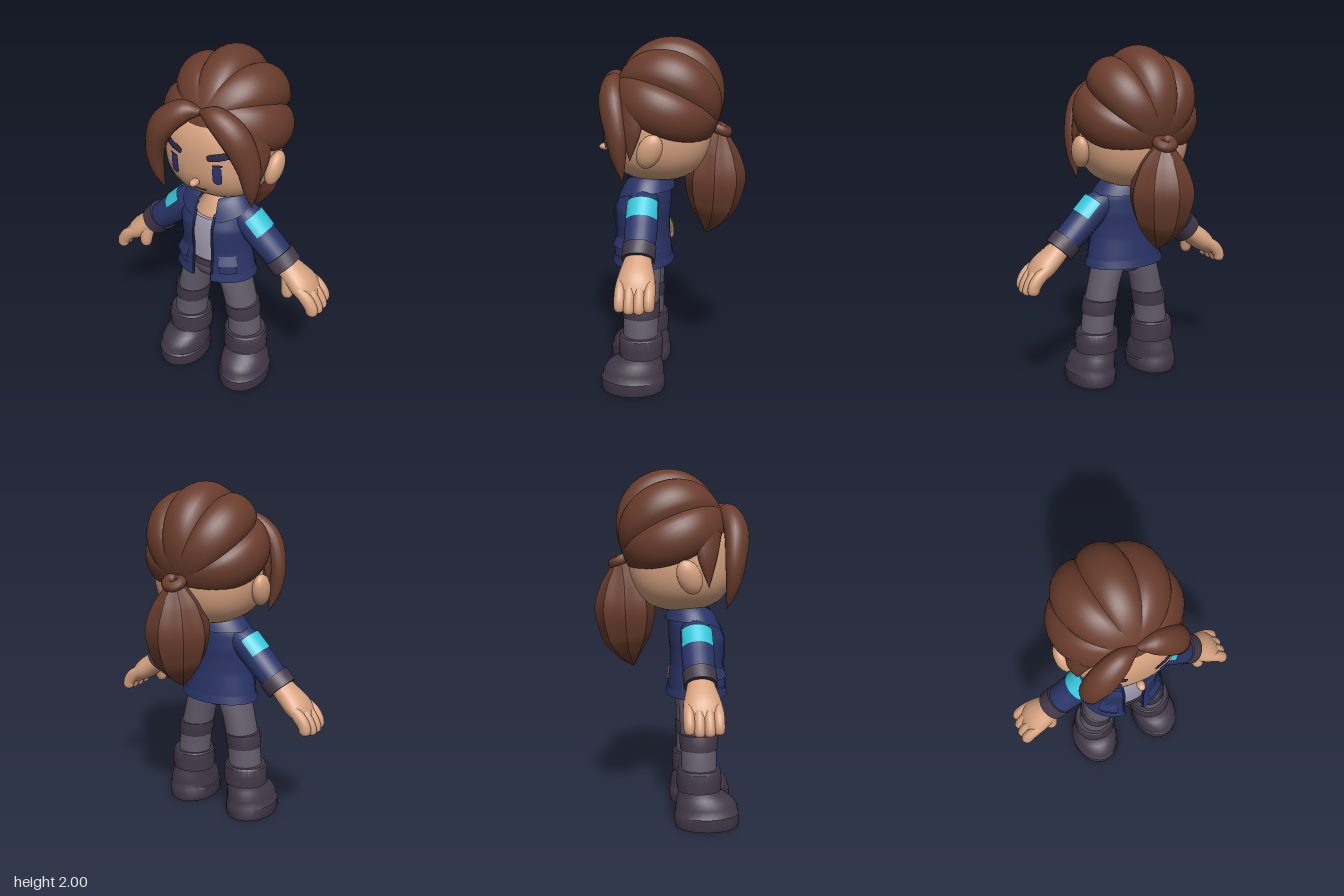
import * as THREE from 'three';
import { toCreasedNormals } from 'three/addons/utils/BufferGeometryUtils.js';
import { ParametricGeometry } from 'three/addons/geometries/ParametricGeometry.js';

const V = (x, y, z) => new THREE.Vector3(x, y, z);
const { sin, cos, abs, PI, pow, sqrt, max, min, asin } = Math;
const surface = (fn, nu, nv) => new ParametricGeometry(fn, nu, nv);

function material(name, color, open) {
  const m = new THREE.MeshStandardMaterial({ color, side: open ? THREE.DoubleSide : THREE.FrontSide });
  m.name = name;
  return m;
}

// Horizontal elliptical rings, bottom to top: [y, cx, cz, rx, rz]
function rings(list, seg = 28) {
  const n = list.length - 1;
  return surface((u, v, t) => {
    const [y, cx, cz, rx, rz] = list[Math.round(v * n)];
    t.set(cx + rx * sin(u * 2 * PI), y, cz + rz * cos(u * 2 * PI));
  }, seg, n);
}

// Smooth sweep: points, half sizes [width, thickness], facing direction, number of ridges
function loft(points, sizes, out, ridges = 0, seg = 24, steps = 24) {
  const path = new THREE.CatmullRomCurve3(points.map(p => V(...p)));
  const size = new THREE.CatmullRomCurve3(sizes.map((s, i) => V(s[0], s[1], i * 0.05)));
  return surface((u, v, t) => {
    const c = path.getPoint(v), T = path.getTangent(v), s = size.getPoint(v), a = u * 2 * PI;
    const W = out(c).cross(T).normalize(), N = T.clone().cross(W);
    const k = ridges ? 1 - 0.09 * abs(sin(ridges * a / 2)) : 1;
    t.copy(c).addScaledVector(W, max(0, s.x) * k * cos(a)).addScaledVector(N, max(0, s.y) * k * sin(a));
  }, seg, steps);
}

// Head surface depth at a face position
const headZ = (x, y) => 0.06 + 0.3 * pow(max(0, 1 - pow(abs(x / 0.3), 2.5) - pow(abs((y - 1.5) / 0.29), 2.5)), 0.4);

// Thin rounded plate lying on the face
function facePatch(cx, cy, w, h, rot, lift = 0.006) {
  return surface((u, v, t) => {
    const b = v * 2 - 1, a = (u * 2 - 1) * sqrt(max(0, 1 - pow(b, 6)));
    const x = cx + a * w * cos(rot) - b * h * sin(rot), y = cy + a * w * sin(rot) + b * h * cos(rot);
    t.set(x, y, headZ(x, y) + lift);
  }, 8, 14);
}

// Jacket cross-sections: [y, cz, rx, rz]
const JACKET = [[0.73, 0.15, 0.237, 0.168], [0.8, 0.15, 0.226, 0.162], [0.9, 0.15, 0.207, 0.152],
  [0.98, 0.153, 0.208, 0.155], [1.05, 0.15, 0.212, 0.16], [1.14, 0.13, 0.19, 0.14], [1.22, 0.11, 0.13, 0.115]];
function jacketPoint(a, y, off, t) {
  let i = 0;
  while (i < JACKET.length - 2 && y > JACKET[i + 1][0]) i++;
  const A = JACKET[i], B = JACKET[i + 1], k = min(1, max(0, (y - A[0]) / (B[0] - A[0])));
  const [cz, rx, rz] = [1, 2, 3].map(j => A[j] + (B[j] - A[j]) * k);
  const gap = asin(0.06 / rx), angle = gap + a * (2 * PI - 2 * gap);
  return t.set((rx + off) * sin(angle), y, cz + (rz + off) * cos(angle));
}
const jacketBand = (a0, a1, y0, y1, off0, off1, nu, nv) => surface((u, v, t) =>
  jacketPoint(a0 + (a1 - a0) * u, y0 + (y1 - y0) * v, off0 + (off1 - off0) * v, t), nu, nv);

function mirrored(geo) {
  const g = geo.clone().scale(-1, 1, 1), ix = g.index;
  for (let i = 0; i < ix.count; i += 3) {
    const b = ix.getX(i + 1);
    ix.setX(i + 1, ix.getX(i + 2));
    ix.setX(i + 2, b);
  }
  return g;
}

export function createModel() {
  const model = new THREE.Group();
  model.name = 'character';
  const skin = material('skin', 0xd6a27f), hair = material('brown hair', 0x693c2c, true);
  const navy = material('navy jacket', 0x2a3568, true), grey = material('grey trousers', 0x645c6b);
  const dark = material('dark leather', 0x423848), cyan = material('cyan armband', 0x36c8dc, true);
  const shirtMat = material('pale shirt', 0xa09bae), eyeMat = material('eye blue', 0x2c3570);
  const browMat = material('brow dark', 0x2b2a48), mouthMat = material('mouth brown', 0x6b3f33);

  const add = (name, geo, mat, crease = 0.7) => {
    const m = new THREE.Mesh(toCreasedNormals(geo, crease), mat);
    m.name = name;
    model.add(m);
  };
  const pair = (name, geo, mat, crease) => {
    add(name + 'Left', geo, mat, crease);
    add(name + 'Right', mirrored(geo), mat, crease);
  };

  // Head: softened box-like ellipsoid
  const head = new THREE.SphereGeometry(1, 40, 30), hp = head.attributes.position;
  for (let i = 0; i < hp.count; i++) {
    const p = V(0, 0, 0).fromBufferAttribute(hp, i);
    p.divideScalar(pow(pow(abs(p.x), 2.5) + pow(abs(p.y), 2.5) + pow(abs(p.z), 2.5), 0.4));
    hp.setXYZ(i, p.x * 0.3, 1.5 + p.y * 0.29, 0.06 + p.z * 0.3);
  }
  add('head', head, skin);
  add('nose', new THREE.SphereGeometry(1, 14, 10).scale(0.023, 0.021, 0.036).translate(0, 1.383, 0.364), skin);
  pair('ear', new THREE.SphereGeometry(1, 18, 14).scale(0.045, 0.098, 0.066)
    .rotateX(-0.4).rotateZ(-0.15).translate(0.318, 1.422, 0.08), skin);
  pair('eye', facePatch(0.128, 1.452, 0.024, 0.058, 0), eyeMat);
  pair('eyelash', facePatch(0.131, 1.51, 0.026, 0.007, 0.1, 0.008), browMat);
  pair('brow', facePatch(0.137, 1.56, 0.063, 0.021, 0.24, 0.008), browMat);
  const lip = [[-0.052, 1.334], [-0.025, 1.324], [0, 1.327], [0.025, 1.324], [0.052, 1.334]];
  add('mouth', new THREE.TubeGeometry(new THREE.CatmullRomCurve3(
    lip.map(([x, y]) => V(x, y, headZ(x, y)))), 20, 0.0035, 6), mouthMat);

  // Swept-back hair: lobes running from the parting to the tie
  const centre = V(0, 1.62, 0.018), axis = V(0, 0.12, 0.278), up = V(0, 0.917, -0.38);
  add('hairCap', surface((u, v, t) => {
    const f = (u * 2 - 1) * PI, th = v * PI;
    const k = abs(f) > 0.626 * PI ? 0.75 : 0.86 + 0.14 * pow(abs(cos(4 * f)), 0.6);
    const r = pow(max(0, sin(th)), 0.82) * k;
    t.copy(centre).addScaledVector(axis, cos(th)).addScaledVector(up, 0.385 * r * cos(f));
    t.x += 0.36 * r * sin(f);
  }, 80, 32), hair, 0.6);

  // Fringe locks and sideburns
  const outward = c => V(c.x, (c.y - 1.5) * 0.6, c.z - 0.05);
  const lockSizes = [[0.015, 0.02], [0.062, 0.055], [0.08, 0.064], [0.066, 0.052], [0.042, 0.034], [0, 0]];
  add('fringeLeft', loft([[0, 1.755, 0.285], [0.09, 1.75, 0.3], [0.2, 1.665, 0.295], [0.265, 1.5, 0.265],
    [0.272, 1.36, 0.25], [0.265, 1.235, 0.23]], lockSizes, outward), hair);
  add('fringeRight', loft([[0, 1.755, 0.285], [-0.09, 1.75, 0.315], [-0.2, 1.66, 0.345], [-0.262, 1.5, 0.335],
    [-0.262, 1.36, 0.32], [-0.24, 1.235, 0.29]], lockSizes, outward), hair);
  pair('sideburn', loft([[0.255, 1.66, 0.18], [0.288, 1.51, 0.18], [0.285, 1.36, 0.19]],
    [[0.09, 0.04], [0.055, 0.028], [0, 0]], outward, 0, 14, 12), hair);

  // Ponytail with its tie
  const back = () => V(0, 0, -1);
  add('ponytail', loft([[0, 1.5, -0.28], [0, 1.38, -0.265], [0, 1.22, -0.26], [0, 1.06, -0.25], [0, 0.96, -0.232], [0, 0.885, -0.21]],
    [[0.035, 0.035], [0.135, 0.125], [0.185, 0.172], [0.148, 0.14], [0.078, 0.075], [0, 0]], back, 8, 48, 28), hair, 0.3);
  add('hairTie', new THREE.TorusGeometry(0.042, 0.03, 10, 20).rotateX(1.1).translate(0, 1.495, -0.285), hair);

  // Neck, shirt and hips
  add('neck', rings([[1.06, 0, 0.14, 0.14, 0.12], [1.12, 0, 0.135, 0.12, 0.112],
    [1.18, 0, 0.12, 0.085, 0.09], [1.3, 0, 0.1, 0.075, 0.075]]), skin);
  add('shirt', rings([[0.8, 0, 0.15, 0.18, 0.13], [0.9, 0, 0.15, 0.18, 0.13], [1.05, 0, 0.15, 0.185, 0.135],
    [1.1, 0, 0.14, 0.15, 0.127], [1.11, 0, 0.14, 0, 0]]), shirtMat);
  add('hips', rings([[0.672, 0, 0.15, 0, 0], [0.676, 0, 0.15, 0.1, 0.07], [0.7, 0, 0.15, 0.16, 0.1],
    [0.75, 0, 0.15, 0.195, 0.122], [0.82, 0, 0.15, 0.185, 0.13]]), grey);
  add('belt', rings([[0.79, 0, 0.15, 0.19, 0.132], [0.79, 0, 0.15, 0.193, 0.14], [0.83, 0, 0.15, 0.19, 0.138],
    [0.83, 0, 0.15, 0.17, 0.12]]), dark);

  // Open jacket with hem, front edges, pockets and collar
  add('jacket', jacketBand(0, 1, 0.73, 1.22, 0, 0, 48, 28), navy);
  add('jacketHem', jacketBand(0, 1, 0.728, 0.775, 0.01, 0.004, 48, 1), navy);
  const edge = new THREE.CatmullRomCurve3([0.73, 0.8, 0.9, 1, 1.07, 1.14].map(y => jacketPoint(0, y, 0, V(0, 0, 0))));
  pair('jacketEdge', new THREE.TubeGeometry(edge, 24, 0.008, 8), navy);
  pair('pocket', jacketBand(0.035, 0.115, 0.785, 0.85, 0.01, 0.01, 8, 2), navy);
  pair('pocketFlap', jacketBand(0.028, 0.122, 0.835, 0.89, 0.024, 0.004, 8, 2), navy);
  add('collar', surface((u, v, t) => {
    const rx = 0.212 - 0.095 * v, rz = 0.163 - 0.046 * v, g = asin((0.07 - 0.015 * v) / rx);
    const a = g + u * (2 * PI - 2 * g), f = max(0, cos(a));
    t.set(rx * sin(a), 1.162 + 0.09 * sin(v * PI / 2) - (0.07 - 0.025 * v) * f * f, 0.13 - 0.013 * v + rz * cos(a));
  }, 48, 6), navy);

  // Arms
  const front = () => V(0, 0, 1);
  const along = (geo, x, y) => geo.rotateZ(-0.75 * PI).translate(x, y, 0.13);
  pair('sleeve', loft([[0.09, 1.14, 0.125], [0.2, 1.083, 0.13], [0.3, 0.99, 0.13], [0.41, 0.89, 0.13]],
    [[0.065, 0.07], [0.086, 0.088], [0.084, 0.09], [0.076, 0.085]], front), navy);
  pair('armband', along(new THREE.CylinderGeometry(0.093, 0.093, 0.115, 20, 1, true, 1.13 * PI, 0.74 * PI), 0.228, 1.056), cyan);
  pair('cuff', along(new THREE.CylinderGeometry(0.09, 0.092, 0.08, 24), 0.412, 0.888), dark);

  // Hands
  pair('palm', loft([[0.4, 0.9, 0.13], [0.47, 0.84, 0.13], [0.55, 0.775, 0.13], [0.61, 0.715, 0.13]],
    [[0.055, 0.06], [0.063, 0.082], [0.063, 0.102], [0.036, 0.085]], front, 0, 20, 14), skin);
  [0.054, 0.105, 0.157, 0.206].forEach((z, i) => {
    const reach = [0, 0.01, 0.01, 0.002][i];
    pair('finger' + (i + 1), loft([[0.54, 0.785, z], [0.595, 0.745, z], [0.63, 0.7, z], [0.637 + reach, 0.667 - reach, z],
      [0.638 + reach, 0.651 - reach, z], [0.638 + reach, 0.645 - reach, z]],
      [[0.03, 0.025], [0.038, 0.031], [0.037, 0.031], [0.034, 0.029], [0.022, 0.02], [0, 0]], front, 0, 16, 20), skin);
  });
  pair('thumb', loft([[0.47, 0.82, 0.17], [0.475, 0.765, 0.185], [0.477, 0.725, 0.19], [0.477, 0.703, 0.19], [0.477, 0.695, 0.19]],
    [[0.042, 0.04], [0.038, 0.036], [0.034, 0.032], [0.022, 0.021], [0, 0]], front, 0, 16, 16), skin);

  // Legs, knee bands and boots
  pair('leg', rings([[0.26, 0.19, 0.15, 0.1, 0.1], [0.36, 0.185, 0.15, 0.098, 0.1], [0.48, 0.17, 0.15, 0.094, 0.102],
    [0.62, 0.138, 0.15, 0.091, 0.108], [0.7, 0.114, 0.15, 0.096, 0.112], [0.77, 0.1, 0.15, 0.09, 0.11]]), grey);
  pair('kneeBand', rings([[0.435, 0.176, 0.15, 0.09, 0.09], [0.438, 0.176, 0.15, 0.1, 0.106], [0.48, 0.172, 0.15, 0.104, 0.11],
    [0.525, 0.164, 0.15, 0.1, 0.109], [0.53, 0.163, 0.15, 0.085, 0.09]]), dark);
  pair('bootCuff', rings([[0.205, 0.193, 0.15, 0.1, 0.1], [0.21, 0.193, 0.15, 0.13, 0.126], [0.27, 0.193, 0.15, 0.132, 0.128],
    [0.32, 0.191, 0.15, 0.127, 0.124], [0.328, 0.191, 0.15, 0.118, 0.116], [0.328, 0.191, 0.15, 0.085, 0.085]]), dark);
  pair('boot', rings([[0, 0.214, 0.195, 0, 0], [0, 0.214, 0.195, 0.14, 0.18], [0.015, 0.214, 0.195, 0.146, 0.185],
    [0.075, 0.214, 0.195, 0.146, 0.185], [0.082, 0.214, 0.193, 0.139, 0.179], [0.12, 0.212, 0.19, 0.136, 0.175],
    [0.15, 0.208, 0.182, 0.13, 0.163], [0.175, 0.203, 0.17, 0.122, 0.143], [0.195, 0.198, 0.157, 0.115, 0.122],
    [0.24, 0.194, 0.15, 0.11, 0.11]]), dark);
  return model;
}
